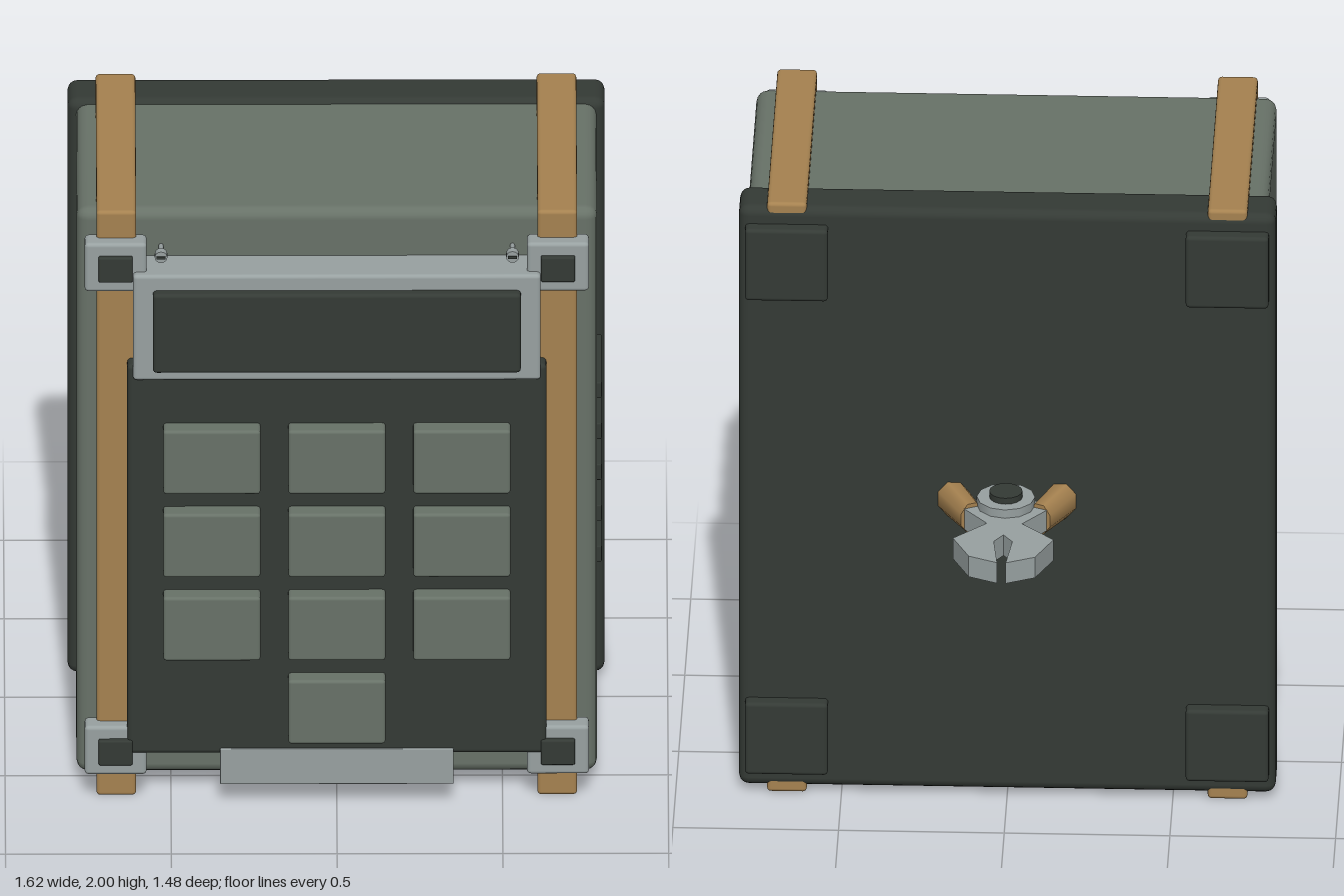
import * as THREE from 'three';
import { RoundedBoxGeometry } from 'three/addons/geometries/RoundedBoxGeometry.js';

const material = (name, color) => {
  const m = new THREE.MeshStandardMaterial({ color });
  m.name = name;
  return m;
};

export function createModel() {
  const model = new THREE.Group();
  model.name = 'keypadBox';
  const green = material('greyGreen', 0x687268);
  const dark = material('darkGreen', 0x343a35);
  const tan = material('tan', 0xa68250);
  const silver = material('silver', 0x98a1a1);
  const flatSilver = material('toolSilver', 0x98a1a1);
  flatSilver.name = 'toolSilver';

  const add = (name, geometry, mat, parent = model) => {
    const mesh = new THREE.Mesh(geometry, mat);
    mesh.name = name;
    parent.add(mesh);
    return mesh;
  };
  // Bevelled box given by its extents
  const box = (name, mat, [x0, x1], [y0, y1], [z0, z1], r = 0.01, seg = 2) => {
    const mesh = add(name, new RoundedBoxGeometry(x1 - x0, y1 - y0, z1 - z0, seg, r), mat);
    mesh.position.set((x0 + x1) / 2, (y0 + y1) / 2, (z0 + z1) / 2);
    return mesh;
  };
  // Same, given by centre and width in x and y
  const block = (name, mat, x, y, w, h, z, r) =>
    box(name, mat, [x - w / 2, x + w / 2], [y - h / 2, y + h / 2], z, r);

  // Housing and back plate
  box('body', green, [-0.785, 0.785], [0.04, 1.97], [-0.2, 0.565], 0.035);
  box('backPlate', dark, [-0.81, 0.81], [0.02, 1.985], [-0.26, -0.105], 0.03);

  // Keypad panel, display and bottom plate
  box('keypadPanel', dark, [-0.632, 0.632], [0.17, 1.5], [0.55, 0.68], 0.015);
  box('displayFrame', silver, [-0.615, 0.615], [1.455, 1.815], [0.55, 0.695], 0.012);
  box('displayScreen', dark, [-0.555, 0.555], [1.495, 1.765], [0.67, 0.725], 0.012);
  box('bottomPlate', silver, [-0.352, 0.352], [0.07, 0.19], [0.645, 0.687], 0.003);

  // Keys: three rows of three and a single one below
  for (let row = 0; row < 4; row++) {
    for (const col of row < 3 ? [-1, 0, 1] : [0]) {
      block('key', green, col * 0.377, 1.195 - row * 0.285, 0.293, 0.217, [0.66, 0.735], 0.01);
    }
  }

  for (const s of [-1, 1]) {
    // Straps round the top, front and bottom
    const strapX = [s * 0.665 - 0.06, s * 0.665 + 0.06];
    box('strapTop', tan, strapX, [1.94, 2], [-0.257, 0.63], 0.012);
    box('strapBottom', tan, strapX, [0, 0.06], [-0.257, 0.63], 0.012);
    box('strapFront', tan, strapX, [0, 2], [0.54, 0.63], 0.012);

    // Strap clips and rear feet
    for (const y of [0.175, 1.828]) {
      block('clip', silver, s * 0.667, y, 0.187, 0.165, [0.6, 0.67], 0.012);
      block('clipButton', dark, s * 0.667, y, 0.103, 0.085, [0.64, 0.686], 0.006);
    }
    for (const y of [0.202, 1.81]) {
      block('foot', dark, s * 0.665, y, 0.25, 0.242, [-0.303, -0.24], 0.012);
    }

    // Slotted screws
    const screw = new THREE.Group();
    screw.name = 'screw';
    screw.position.set(s * 0.53, 1.85, 0);
    model.add(screw);
    add('screwHead', new THREE.CylinderGeometry(0.019, 0.019, 0.026, 16), silver, screw);
    add('screwStem', new THREE.CylinderGeometry(0.007, 0.007, 0.07, 8), silver, screw);
    add('screwSlot', new THREE.BoxGeometry(0.028, 0.008, 0.006), dark, screw).position.z = 0.645;
    for (const [i, z] of [0.63, 0.59].entries()) {
      screw.children[i].rotation.x = Math.PI / 2;
      screw.children[i].position.z = z;
    }
  }

  // Vent bars on the left side only
  for (let i = 0; i < 5; i++) {
    const y = 1.23 - i * 0.14;
    box('vent', dark, [0.77, 0.8], [y - 0.027, y + 0.027], [0.03, 0.34], 0.004);
  }

  // Pliers sticking out of the back
  const pliers = new THREE.Group();
  pliers.name = 'pliers';
  pliers.position.y = 1.007;
  model.add(pliers);
  const half = [[0.013, 0.74], [0.1, 0.7], [0.152, 0.583], [0.053, 0.482], [0.125, 0.39], [0.1, 0.33]];
  const outline = [
    [0, 0.557], [0.028, 0.6], ...half,
    ...half.map(([x, z]) => [-x, z]).reverse(), [-0.028, 0.6],
  ].map(([x, z]) => new THREE.Vector2(x, z));
  const jaws = new THREE.ExtrudeGeometry(new THREE.Shape(outline), { depth: 0.07, bevelEnabled: false });
  jaws.rotateX(-Math.PI / 2).translate(0, -0.035, 0);
  add('jaws', jaws, flatSilver, pliers);
  add('pivot', new THREE.CylinderGeometry(0.088, 0.088, 0.126, 12), silver, pliers).position.z = -0.36;
  add('pivotCap', new THREE.CylinderGeometry(0.05, 0.05, 0.03, 16), dark, pliers).position.set(0, 0.068, -0.36);
  for (const s of [-1, 1]) {
    const grip = new THREE.CylinderGeometry(0.066, 0.052, 0.2, 8);
    grip.rotateY(Math.PI / 8).scale(0.75, 1, 1).rotateX(Math.PI / 2);
    const handle = add('handle', grip, tan, pliers);
    handle.rotation.y = s * 0.45;
    handle.position.set(s * 0.145, 0, -0.29);
  }
  return model;
}
